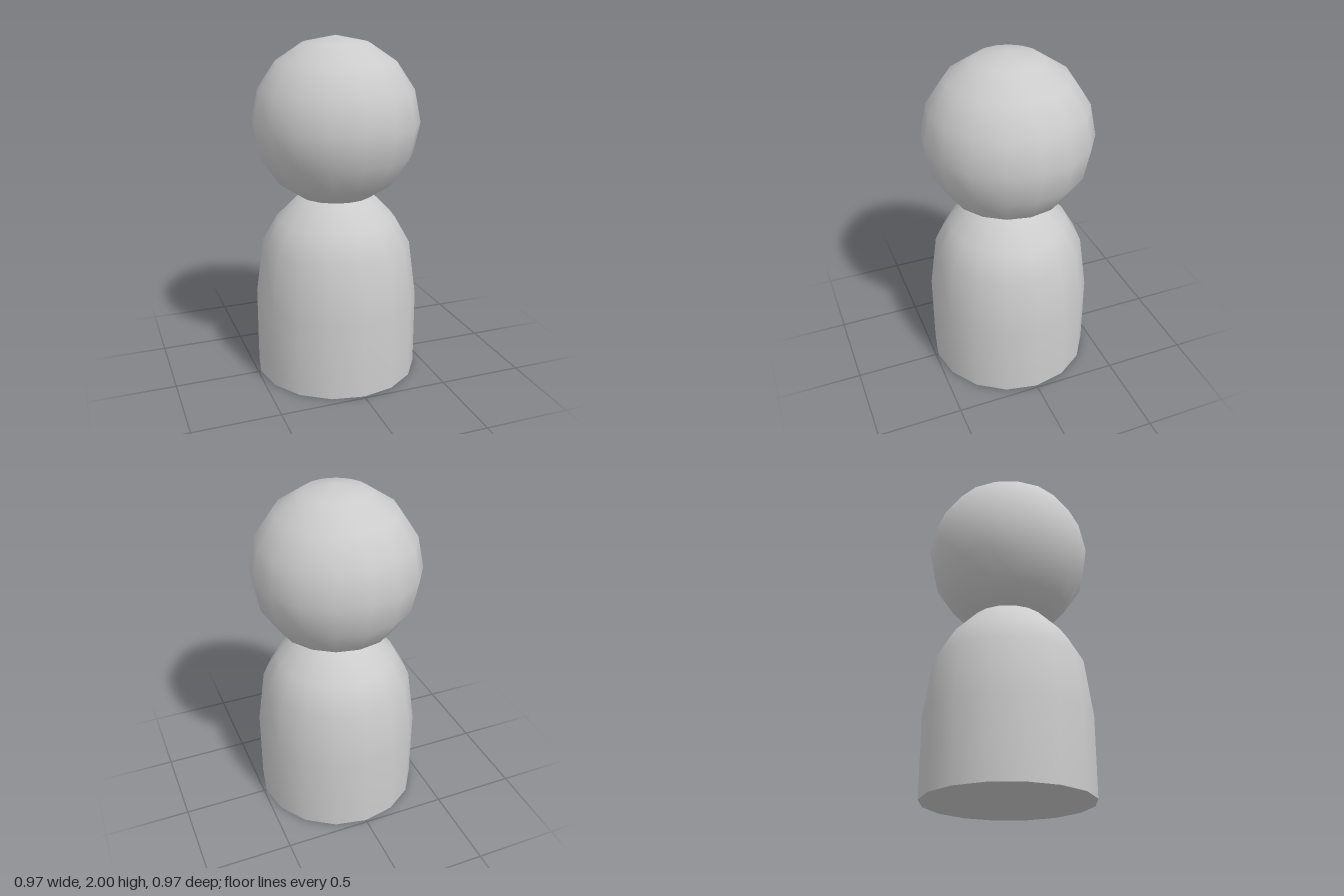
import * as THREE from 'three';

const SIDES = 16;
const RADIUS = 0.485;

export function createModel() {
  const group = new THREE.Group();
  const material = new THREE.MeshStandardMaterial({ color: 0xcccccc });

  const addPart = (name, geometry) => {
    const mesh = new THREE.Mesh(geometry, material);
    mesh.name = name;
    group.add(mesh);
    return mesh;
  };

  // Body: straight lower wall, rounding in to the neck and closing inside the head
  const profile = [
    [RADIUS, 0], [RADIUS, 0.455], [0.44, 0.79], [0.352, 0.945], [0.21, 1.09], [0, 1.17],
  ].map(([r, y]) => new THREE.Vector2(r, y));
  addPart('body', new THREE.LatheGeometry(profile, SIDES));

  // Flat underside, separate so that its edge stays sharp
  addPart('base', new THREE.CircleGeometry(RADIUS, SIDES)).rotation.x = Math.PI / 2;

  // Round head resting on the neck
  addPart('head', new THREE.SphereGeometry(RADIUS, SIDES, 8)).position.y = 2 - RADIUS;

  return group;
}
